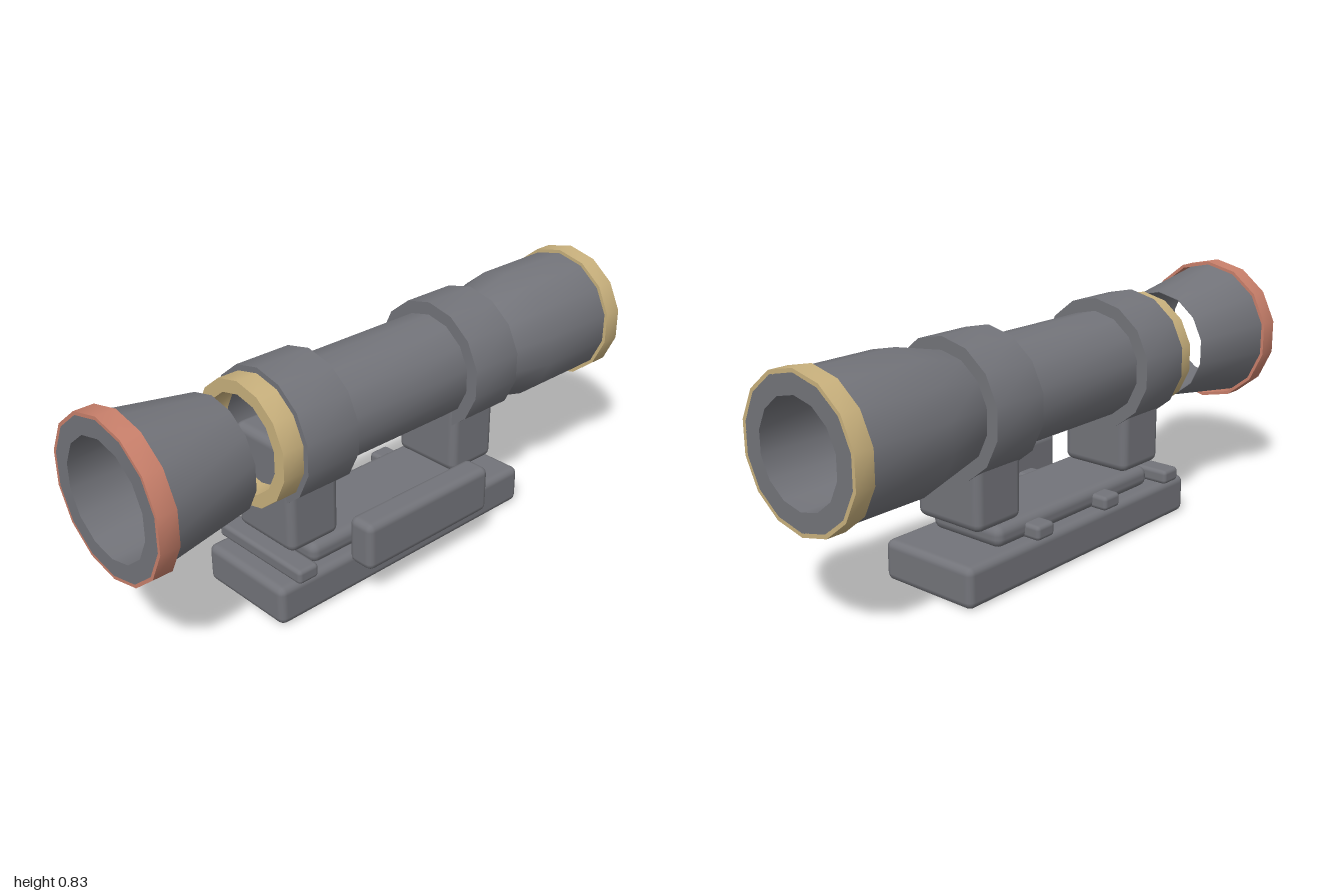
import * as THREE from 'three';
import { toCreasedNormals } from 'three/addons/utils/BufferGeometryUtils.js';
import { RoundedBoxGeometry } from 'three/addons/geometries/RoundedBoxGeometry.js';

const SIDES = 14;
const AXIS_X = -0.015, AXIS_Y = 0.568;

function material(name, color) {
  const m = new THREE.MeshStandardMaterial({ color });
  m.name = name;
  return m;
}

export function createModel() {
  const group = new THREE.Group();
  group.name = 'scope';
  const gray = material('gunmetal gray', 0x73747a);
  const gold = material('pale gold', 0xc9b17d);
  const red = material('dusty red', 0xc9806b);

  // Hollow ring along z: outer and inner walls as [radius, z] from back to front
  function ring(name, mat, outer, inner) {
    const loop = [...outer, ...inner.slice().reverse(), outer[0]];
    const points = loop.map(([r, z]) => new THREE.Vector2(r, z));
    const lathe = new THREE.LatheGeometry(points, SIDES).rotateX(Math.PI / 2);
    const mesh = new THREE.Mesh(toCreasedNormals(lathe, Math.PI / 6), mat);
    mesh.position.set(AXIS_X, AXIS_Y, 0);
    mesh.name = name;
    group.add(mesh);
  }

  // Straight ring with constant radii
  function band(name, mat, z0, z1, outer, inner) {
    ring(name, mat, [[outer, z0], [outer, z1]], [[inner, z0], [inner, z1]]);
  }

  // Rounded block given by its extents
  function block(name, [x0, x1], [y0, y1], [z0, z1], radius) {
    const geo = new RoundedBoxGeometry(x1 - x0, y1 - y0, z1 - z0, 2, radius);
    const mesh = new THREE.Mesh(geo, gray);
    mesh.position.set((x0 + x1) / 2, (y0 + y1) / 2, (z0 + z1) / 2);
    mesh.name = name;
    group.add(mesh);
  }

  // Main tube and its two clamps
  band('mainTube', gray, -0.27, 0.27, 0.181, 0.135);
  band('frontClamp', gray, 0.26, 0.46, 0.224, 0.166);
  band('rearClamp', gray, -0.46, -0.26, 0.224, 0.166);
  band('frontGoldRing', gold, 0.455, 0.535, 0.205, 0.162);

  // Detached flared front hood with a red rim
  ring('frontHood', gray,
    [[0.191, 0.625], [0.247, 1]],
    [[0.189, 0.625], [0.19, 1]]);
  band('frontRim', red, 0.935, 1, 0.258, 0.247);

  // Rear bell with a gold rim
  ring('rearBell', gray,
    [[0.224, -1], [0.224, -0.64], [0.181, -0.455]],
    [[0.163, -1], [0.163, -0.64], [0.136, -0.455]]);
  band('rearRim', gold, -1, -0.935, 0.236, 0.223);

  // Posts that carry the clamps
  block('frontPost', [-0.148, 0.117], [0.2, 0.568], [0.262, 0.462], 0.028);
  block('rearPost', [-0.148, 0.117], [0.2, 0.568], [-0.457, -0.257], 0.028);

  // Mounting rail
  block('base', [-0.2, 0.167], [0, 0.135], [-0.55, 0.55], 0.025);
  block('upperPlate', [-0.16, 0.13], [0.13, 0.202], [-0.382, 0.387], 0.03);
  [-0.22, 0.115, 0.45].forEach((z, i) =>
    block(`crossBar${i + 1}`, [-0.214, 0.184], [0.135, 0.184], [z - 0.04, z + 0.04], 0.014));

  // Side block
  block('sideBlock', [0.167, 0.266], [0.119, 0.285], [-0.272, 0.274], 0.025);

  return group;
}
